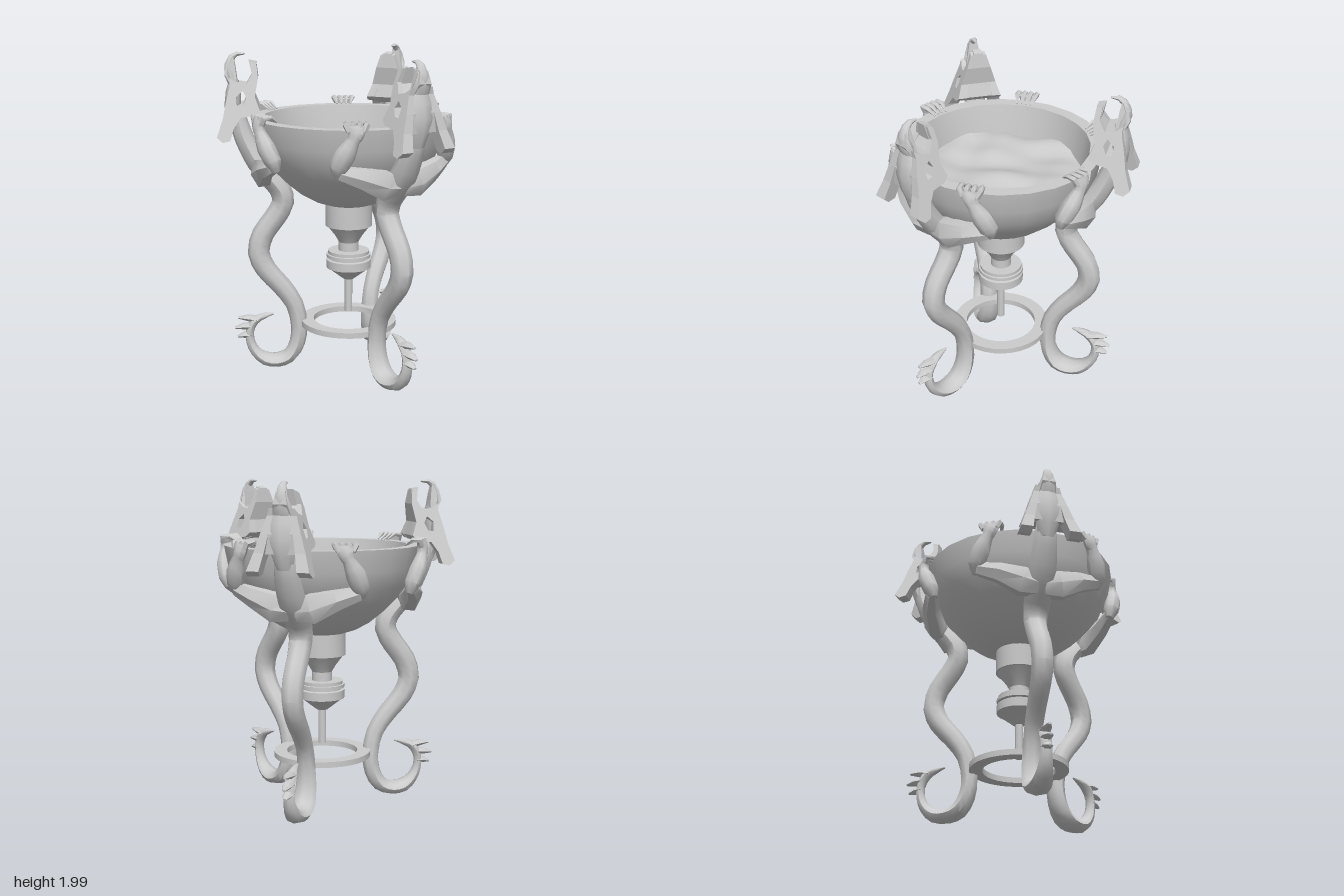
import * as THREE from 'three';
import { toCreasedNormals } from 'three/addons/utils/BufferGeometryUtils.js';

const grey = new THREE.MeshStandardMaterial({ color: 0xcccccc });
const greyDouble = new THREE.MeshStandardMaterial({ color: 0xcccccc, side: THREE.DoubleSide });
const V = (x, y, z) => new THREE.Vector3(x, y, z);

function add(parent, name, geometry, material = grey) {
  const mesh = new THREE.Mesh(geometry, material);
  mesh.name = name;
  parent.add(mesh);
}

// Tapering tube: each row is [x, y, z, half width along ref, half width across it]
function loft(rows, ref, sides = 8, perSpan = 2) {
  const curve = new THREE.CatmullRomCurve3(rows.map(p => V(p[0], p[1], p[2])), false, 'centripetal');
  const n = (rows.length - 1) * perSpan, pos = [], idx = [];
  for (let i = 0; i <= n; i++) {
    const u = i / n, k = Math.min(Math.floor(i / perSpan), rows.length - 2), f = i / perSpan - k;
    const p = curve.getPoint(u), t = curve.getTangent(u);
    const side = ref.clone().addScaledVector(t, -ref.dot(t)).normalize();
    const up = t.clone().cross(side);
    const a = THREE.MathUtils.lerp(rows[k][3], rows[k + 1][3], f);
    const b = THREE.MathUtils.lerp(rows[k][4], rows[k + 1][4], f);
    for (let j = 0; j < sides; j++) {
      const ang = (j / sides) * Math.PI * 2;
      const q = p.clone().addScaledVector(side, Math.cos(ang) * a).addScaledVector(up, Math.sin(ang) * b);
      pos.push(q.x, q.y, q.z);
    }
  }
  for (let i = 0; i < n; i++) for (let j = 0; j < sides; j++) {
    const a = i * sides + j, b = i * sides + (j + 1) % sides;
    idx.push(a, b, a + sides, b, b + sides, a + sides);
  }
  for (let j = 1; j < sides - 1; j++) {
    idx.push(0, j + 1, j, n * sides, n * sides + j, n * sides + j + 1);
  }
  const g = new THREE.BufferGeometry();
  g.setAttribute('position', new THREE.Float32BufferAttribute(pos, 3));
  g.setIndex(idx);
  return toCreasedNormals(g, 0.85);
}

// Side silhouette given thickness from z0 to z1, scaled by width(y)
function slab(points, z0, z1, width, hole) {
  const shape = new THREE.Shape(points.map(p => new THREE.Vector2(...p)));
  shape.holes.push(new THREE.Path(hole.map(p => new THREE.Vector2(...p))));
  const g = new THREE.ExtrudeGeometry(shape, { depth: z1 - z0, bevelEnabled: false });
  const p = g.attributes.position;
  for (let i = 0; i < p.count; i++) p.setZ(i, (p.getZ(i) + z0) * width(p.getY(i)));
  g.computeVertexNormals();
  return g;
}

// Point from angle off the dragon's own axis
const polar = (deg, r, y) => {
  const a = THREE.MathUtils.degToRad(deg);
  return [r * Math.cos(a), y, r * Math.sin(a)];
};

function makeArm(dragon, s) {
  const arm = new THREE.Group();
  arm.name = s > 0 ? 'leftArm' : 'rightArm';
  dragon.add(arm);
  const out = V(...polar(30 * s, 1, 0));
  add(arm, 'upperArm', loft([
    [...polar(2 * s, 0.52, 1.27), 0.06, 0.07],
    [...polar(12 * s, 0.54, 1.285), 0.07, 0.095],
    [...polar(26 * s, 0.565, 1.335), 0.055, 0.065],
    [...polar(38 * s, 0.585, 1.37), 0.04, 0.045],
    [...polar(42 * s, 0.585, 1.38), 0.02, 0.025],
  ], out, 6, 1));
  add(arm, 'forearm', loft([
    [...polar(40 * s, 0.58, 1.34), 0.025, 0.025],
    [...polar(39 * s, 0.595, 1.4), 0.05, 0.055],
    [...polar(35.5 * s, 0.615, 1.48), 0.052, 0.058],
    [...polar(31.5 * s, 0.625, 1.56), 0.034, 0.036],
    [...polar(30 * s, 0.625, 1.6), 0.034, 0.048],
    [...polar(30 * s, 0.617, 1.64), 0.026, 0.062],
  ], out));
  // Claws hooked over the rim
  for (let i = 0; i < 4; i++) {
    const k = i - 1.5;
    add(arm, 'claw', loft([
      [...polar(30 * s + k * 2.4, 0.63, 1.61), 0.018, 0.018],
      [...polar(30 * s + k * 3.6, 0.627, 1.646), 0.019, 0.018],
      [...polar(30 * s + k * 3.8, 0.58, 1.648), 0.016, 0.015],
      [...polar(30 * s + k * 3.1, 0.53, 1.615), 0.005, 0.004],
    ], V(0, 0.3, 1), 5, 1));
  }
}

function makeHead(dragon) {
  const head = new THREE.Group();
  head.name = 'head';
  dragon.add(head);
  const width = y => 0.025 + 0.32 * (2 - y);
  const eye = [[0.675, 1.74], [0.635, 1.775], [0.615, 1.735], [0.635, 1.69], [0.67, 1.685]];
  // Skull with jaws open upwards
  add(head, 'skull', slab([
    [0.73, 1.6], [0.735, 1.71], [0.71, 1.81], [0.745, 1.87], [0.73, 1.94], [0.69, 1.97],
    [0.68, 1.91], [0.67, 1.82], [0.615, 1.81], [0.58, 1.86], [0.6, 1.95], [0.555, 1.94],
    [0.545, 1.85], [0.565, 1.74], [0.54, 1.66], [0.57, 1.63],
  ], -0.62, 0.62, width, eye));
  // Cheek plates ending in hanging frill points
  const cheek = [
    [0.79, 1.51], [0.755, 1.61], [0.735, 1.71], [0.71, 1.81], [0.715, 1.85], [0.67, 1.82],
    [0.615, 1.81], [0.58, 1.87], [0.59, 1.94], [0.555, 1.93], [0.545, 1.85], [0.565, 1.74],
    [0.535, 1.66], [0.565, 1.635], [0.65, 1.62], [0.69, 1.56], [0.71, 1.49], [0.755, 1.48],
  ];
  add(head, 'cheek', slab(cheek, 0.6, 1, width, eye));
  add(head, 'cheek', slab(cheek, -1, -0.6, width, eye));
  // Brow ridge rising from the neck, and hooked beak
  add(head, 'brow', loft([
    [0.67, 1.52, 0, 0.05, 0.04], [0.695, 1.6, 0, 0.07, 0.045], [0.7, 1.68, 0, 0.088, 0.05],
    [0.695, 1.76, 0, 0.08, 0.045], [0.69, 1.83, 0, 0.058, 0.03],
  ], V(0, 0, 1), 8, 1));
  add(head, 'beak', loft([
    [0.69, 1.8, 0, 0.06, 0.03], [0.71, 1.86, 0, 0.055, 0.035], [0.72, 1.92, 0, 0.035, 0.025],
    [0.7, 1.965, 0, 0.025, 0.02], [0.67, 1.985, 0, 0.018, 0.014], [0.625, 1.985, 0, 0.006, 0.005],
  ], V(0, 0, 1), 8, 1));
}

function makeDragon(angle) {
  const dragon = new THREE.Group();
  dragon.name = 'dragon';
  dragon.rotation.y = angle;
  // Serpent body from tail tip to neck: radius out, height, half widths
  const spine = [
    [0.47, 0.358, 0.006, 0.005], [0.53, 0.345, 0.022, 0.02], [0.59, 0.315, 0.035, 0.028],
    [0.622, 0.25, 0.032, 0.026], [0.62, 0.175, 0.035, 0.028], [0.59, 0.11, 0.045, 0.034],
    [0.53, 0.06, 0.06, 0.043], [0.45, 0.05, 0.073, 0.043], [0.375, 0.08, 0.075, 0.047],
    [0.325, 0.165, 0.066, 0.05], [0.312, 0.28, 0.058, 0.052], [0.34, 0.42, 0.055, 0.056],
    [0.42, 0.54, 0.058, 0.062], [0.515, 0.65, 0.062, 0.066], [0.56, 0.76, 0.066, 0.068],
    [0.53, 0.88, 0.067, 0.068], [0.458, 0.98, 0.068, 0.068], [0.405, 1.08, 0.072, 0.068],
    [0.422, 1.16, 0.078, 0.068], [0.485, 1.24, 0.088, 0.068], [0.555, 1.33, 0.088, 0.068],
    [0.612, 1.43, 0.08, 0.062], [0.652, 1.53, 0.07, 0.058], [0.67, 1.63, 0.058, 0.045],
  ];
  add(dragon, 'body', loft(spine.map(([r, y, a, b]) => [r, y, 0, a, b]), V(0, 0, 1)));
  // Barbs on the tail tip: base, then point
  const barbs = [[0.57, 0.322, 0.695, 0.335], [0.61, 0.28, 0.715, 0.268], [0.615, 0.225, 0.7, 0.21]];
  for (const [r0, y0, r1, y1] of barbs) {
    add(dragon, 'tailBarb', loft([
      [r0, y0, 0, 0.034, 0.024],
      [(r0 + r1) / 2, (y0 + y1) / 2 + 0.004, 0, 0.03, 0.02],
      [r1, y1, 0, 0.01, 0.007],
    ], V(0, 0, 1), 6, 1));
  }
  for (const s of [1, -1]) makeArm(dragon, s);
  makeHead(dragon);
  return dragon;
}

const lathe = (pts, sides = 32) =>
  toCreasedNormals(new THREE.LatheGeometry(pts.map(p => new THREE.Vector2(...p)), sides), 0.5);

export function createModel() {
  const model = new THREE.Group();
  const cauldron = new THREE.Group();
  cauldron.name = 'cauldronStand';
  cauldron.position.x = 0.095;
  model.add(cauldron);

  add(cauldron, 'bowl', lathe([
    [0, 1.07], [0.145, 1.07], [0.22, 1.095], [0.3, 1.14], [0.38, 1.205], [0.46, 1.285], [0.525, 1.375],
    [0.57, 1.48], [0.595, 1.61], [0.52, 1.61], [0.5, 1.5], [0.48, 1.36],
  ], 24), greyDouble);

  // Rippled liquid surface
  const liquid = new THREE.RingGeometry(0.001, 0.495, 40, 14).rotateX(-Math.PI / 2);
  const p = liquid.attributes.position;
  for (let i = 0; i < p.count; i++) {
    const x = p.getX(i), z = p.getZ(i);
    const warp = Math.sin(7 * x - 5 * z);
    p.setY(i, 1.425 + 0.014 * Math.sin(11 * x + 5 * z + warp) + 0.01 * Math.sin(17 * z - 8 * x + 1 + warp)
      + 0.006 * Math.sin(23 * x + 14 * z));
  }
  liquid.computeVertexNormals();
  add(cauldron, 'liquid', liquid, greyDouble);

  // Stepped stem under the bowl with a thin spout
  add(cauldron, 'stem', lathe([
    [0, 0.37], [0.024, 0.37], [0.024, 0.585], [0.035, 0.585], [0.125, 0.655], [0.138, 0.66], [0.138, 0.712],
    [0.12, 0.716], [0.12, 0.724], [0.138, 0.728], [0.138, 0.748], [0.128, 0.75], [0.128, 0.77], [0.062, 0.77],
    [0.062, 0.825], [0.085, 0.865], [0.135, 0.93], [0.145, 0.93], [0.145, 1.08],
  ]));

  add(cauldron, 'footRing', lathe([[0.22, 0.29], [0.3, 0.29], [0.3, 0.325], [0.22, 0.325], [0.22, 0.29]]));

  for (let i = 0; i < 3; i++) cauldron.add(makeDragon(Math.PI + (i * Math.PI * 2) / 3));
  return model;
}
